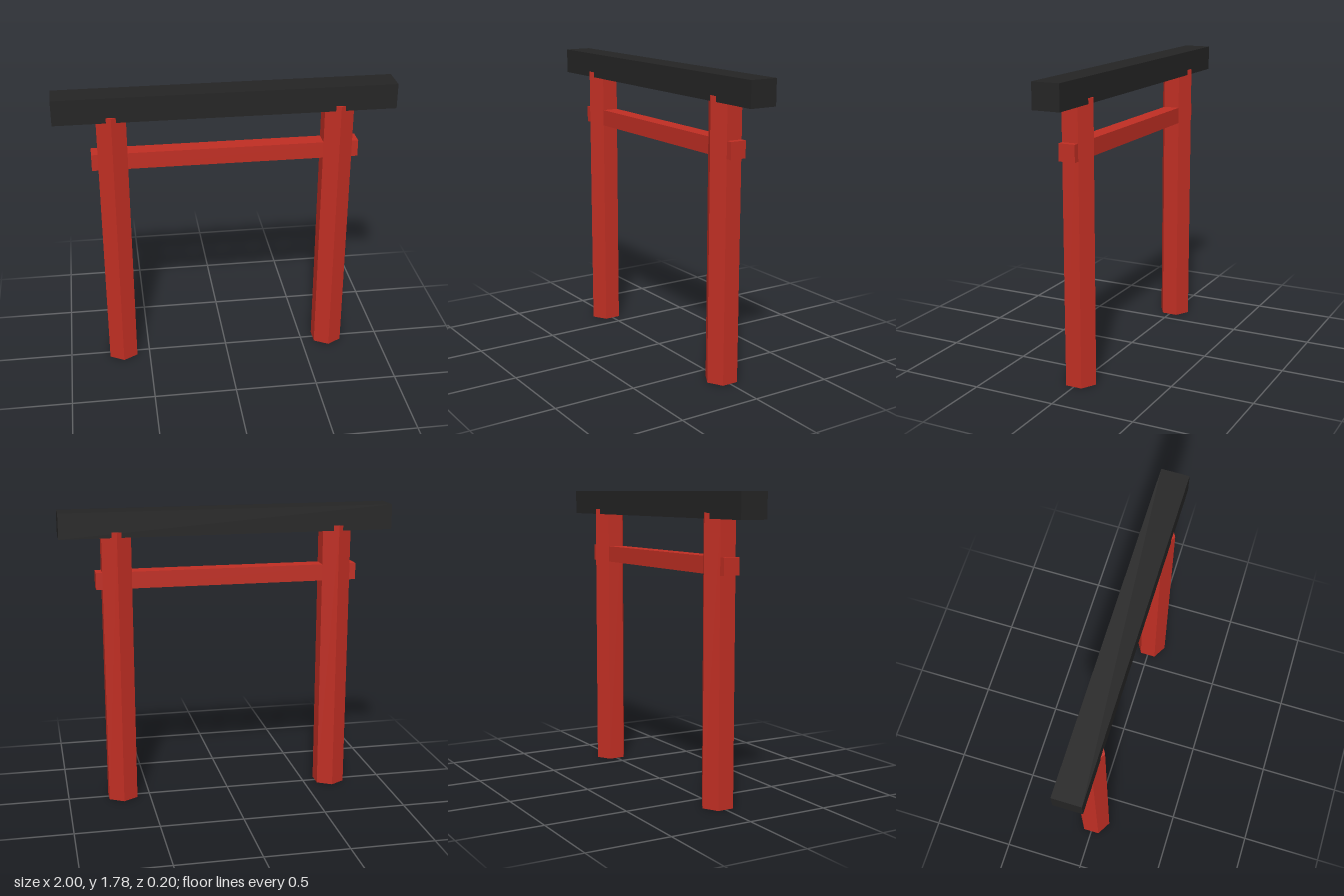
import * as THREE from 'three';

export function createModel() {
  const red = new THREE.MeshStandardMaterial({ color: 0xbf2e23, flatShading: true });
  red.name = 'vermilion paint';
  const black = new THREE.MeshStandardMaterial({ color: 0x242424, flatShading: true });
  black.name = 'black lacquer';

  const gate = new THREE.Group();
  gate.name = 'gate';

  const add = (name, geometry, material, x, y) => {
    const mesh = new THREE.Mesh(geometry, material);
    mesh.name = name;
    mesh.position.set(x, y, 0);
    gate.add(mesh);
  };

  // Hexagonal posts, with a corner towards the front and back
  const postHeight = 1.667;
  const postGeometry = new THREE.CylinderGeometry(0.1, 0.1, postHeight, 6);
  for (const [name, side] of [['leftPost', 1], ['rightPost', -1]]) {
    add(name, postGeometry, red, side * 0.667, postHeight / 2);
  }

  // Tie beam running through both posts
  add('tieBeam', new THREE.BoxGeometry(1.583, 0.1, 0.1), red, 0, 1.377);

  // Top lintel; the post corners poke out just below it
  add('topLintel', new THREE.BoxGeometry(2, 0.15, 0.167), black, 0, 1.71);

  return gate;
}
